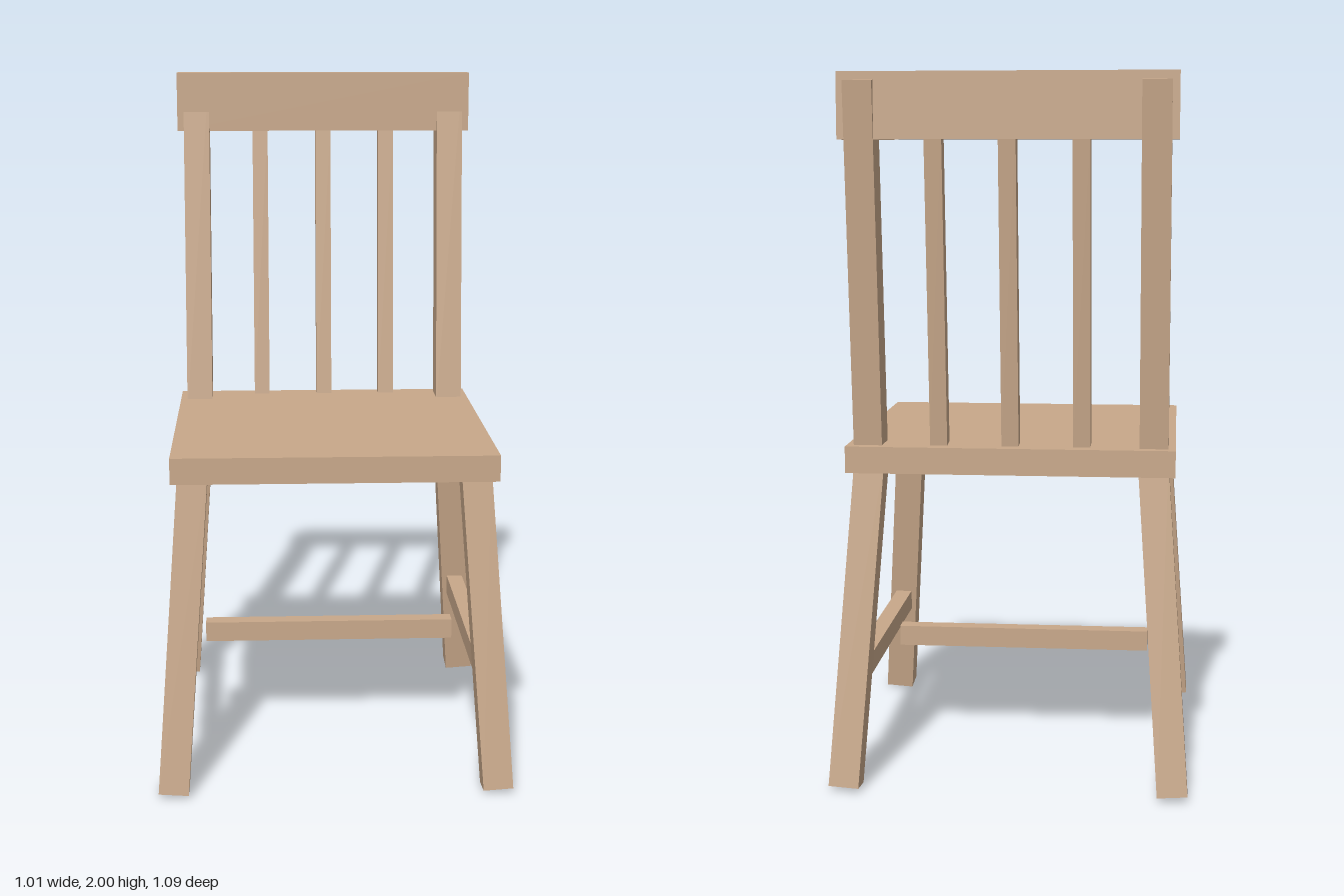
import * as THREE from 'three';

export function createModel() {
  const group = new THREE.Group();
  const wood = new THREE.MeshStandardMaterial({ color: 0xc8a88a });
  wood.name = 'light wood';
  const up = new THREE.Vector3(0, 1, 0);

  // Axis-aligned board
  function board(name, size, position) {
    const mesh = new THREE.Mesh(new THREE.BoxGeometry(...size), wood);
    mesh.name = name;
    mesh.position.set(...position);
    group.add(mesh);
  }

  // Square-cut beam leaning from one end point to the other
  function beam(name, width, depth, from, to) {
    const a = new THREE.Vector3(...from);
    const b = new THREE.Vector3(...to);
    const axis = b.clone().sub(a);
    const mesh = new THREE.Mesh(new THREE.BoxGeometry(width, axis.length(), depth), wood);
    mesh.name = name;
    mesh.position.copy(a).add(b).multiplyScalar(0.5);
    mesh.quaternion.setFromUnitVectors(up, axis.normalize());
    group.add(mesh);
  }

  board('seat', [0.92, 0.075, 0.922], [0, 0.9375, 0.001]);
  board('topRail', [0.92, 0.18, 0.086], [0, 1.91, -0.468]);
  board('crossStretcher', [0.76, 0.06, 0.05], [0, 0.315, 0]);

  for (const [side, s] of [['left', 1], ['right', -1]]) {
    // Splayed legs, their tops sunk into the seat
    for (const [end, e] of [['Front', 1], ['Back', -1]]) {
      beam(`${side}${end}Leg`, 0.085, 0.085,
        [s * 0.462, 0.009, e * 0.502], [s * 0.398, 0.93, e * 0.378]);
    }
    board(`${side}Stretcher`, [0.05, 0.06, 0.88], [s * 0.438, 0.315, 0]);
    // Back posts lean rearward and pass behind the top rail
    beam(`${side}BackPost`, 0.08, 0.096, [s * 0.4, 0.93, -0.3765], [s * 0.4, 1.98, -0.4835]);
  }

  // Slim back slats between the posts
  for (const x of [-0.2, 0, 0.2]) {
    beam('backSlat', 0.048, 0.05, [x, 0.979, -0.403], [x, 1.835, -0.486]);
  }
  return group;
}
